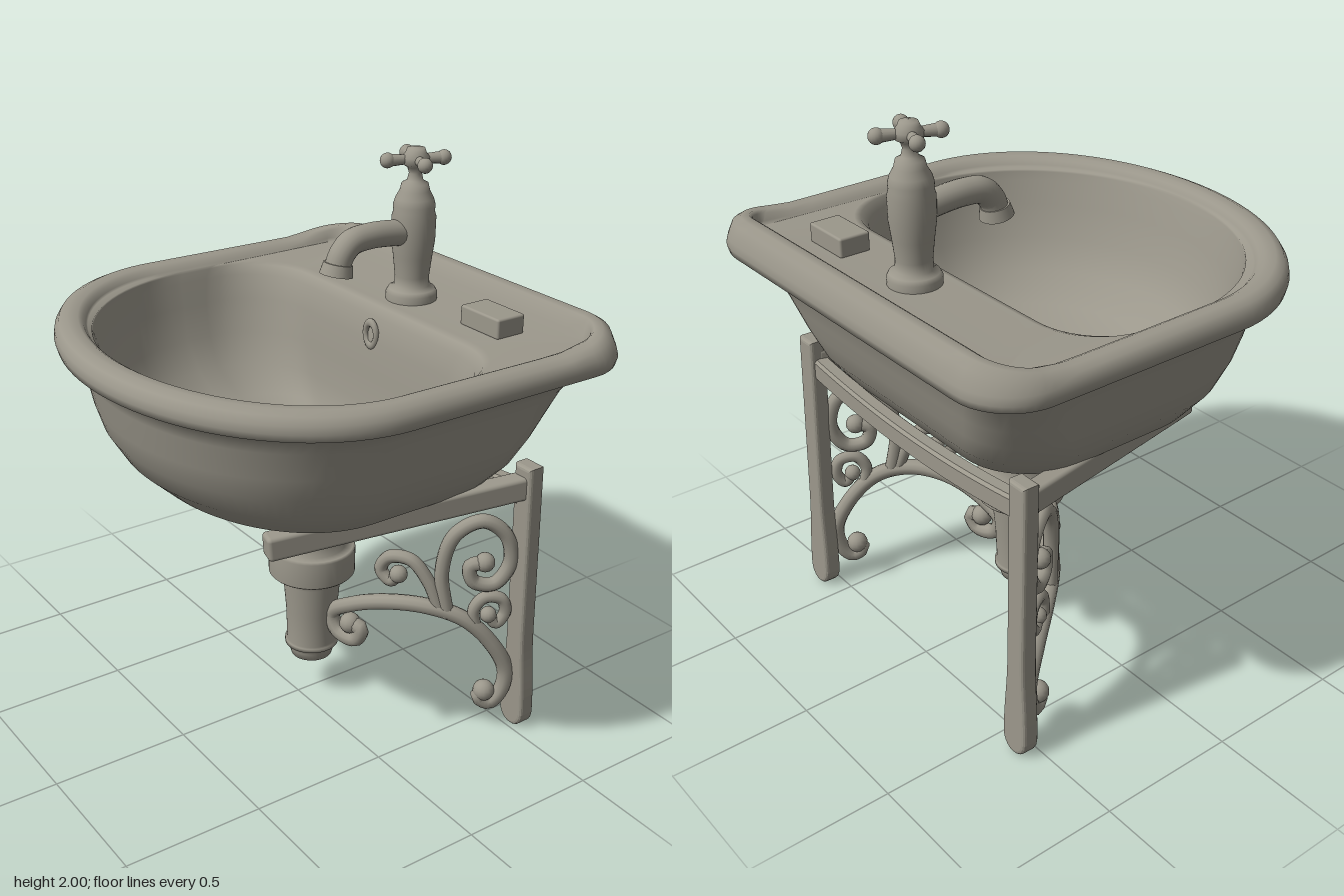
import * as THREE from 'three';
import { RoundedBoxGeometry } from 'three/addons/geometries/RoundedBoxGeometry.js';

const glaze = new THREE.MeshStandardMaterial({ color: 0x9b978b });
glaze.name = 'stoneGrey';

const V = (x, y, z) => new THREE.Vector3(x, y, z);
const { smoothstep } = THREE.MathUtils;

function add(parent, name, geometry, x = 0, y = 0, z = 0) {
  const mesh = new THREE.Mesh(geometry, glaze);
  mesh.name = name;
  mesh.position.set(x, y, z);
  parent.add(mesh);
  return mesh;
}

function lathe(profile, segments = 40) {
  return new THREE.LatheGeometry(profile.map(([r, y]) => new THREE.Vector2(r, y)), segments);
}

// D-shaped plan: straight back at xr, round corners, elliptical front at xl
function outline(xl, xr, zw, y, r, k) {
  const c = xl + k * (xr - xl), half = [];
  r = Math.min(r, 0.9 * (xr - c), 0.9 * zw);
  for (let i = 0; i < 8; i++) half.push([xr, (zw - r) * i / 8]);
  for (let i = 0; i < 10; i++) {
    const a = i / 10 * Math.PI / 2;
    half.push([xr - r + r * Math.cos(a), zw - r + r * Math.sin(a)]);
  }
  for (let i = 0; i < 8; i++) half.push([xr - r + (c - xr + r) * i / 8, zw]);
  for (let i = 0; i <= 22; i++) {
    const a = i / 22 * Math.PI / 2;
    half.push([c - (c - xl) * Math.sin(a), zw * Math.cos(a)]);
  }
  const back = half.slice(1, -1).reverse().map(([x, z]) => [x, -z]);
  return half.concat(back).map(([x, z]) => {
    // the rim rises into a low curb along the wall side, easing off at the corners
    const curb = 0.048 * smoothstep(x, 0.47, 0.69) * (1 - 0.55 * smoothstep(Math.abs(z), 0.62, 0.82));
    return [x, y + (curb - 0.008 * x) * smoothstep(y, 1.465, 1.49), z];
  });
}

function loft(loops) {
  const n = loops[0].length, index = [];
  for (let i = 0; i < loops.length - 1; i++) {
    for (let j = 0; j < n; j++) {
      const a = i * n + j, b = i * n + (j + 1) % n;
      index.push(a, a + n, b, b, a + n, b + n);
    }
  }
  const g = new THREE.BufferGeometry();
  g.setAttribute('position', new THREE.Float32BufferAttribute(loops.flat(2), 3));
  g.setIndex(index);
  g.computeVertexNormals();
  return g;
}

function makeBasin(root) {
  const basin = new THREE.Group();
  basin.name = 'basin';
  // underside, flared rim and deck: xl, xr, zw, y, corner radius
  const outer = [
    [0.059, 0.061, 0.001, 0.843, 0.2], [-0.17, 0.26, 0.26, 0.852, 0.2], [-0.37, 0.42, 0.43, 0.905, 0.25],
    [-0.51, 0.52, 0.55, 0.975, 0.25], [-0.60, 0.578, 0.615, 1.06, 0.25], [-0.655, 0.61, 0.65, 1.15, 0.23],
    [-0.68, 0.635, 0.675, 1.23, 0.22], [-0.70, 0.665, 0.705, 1.33, 0.2], [-0.715, 0.70, 0.735, 1.38, 0.2],
    [-0.75, 0.75, 0.785, 1.403, 0.2], [-0.78, 0.78, 0.815, 1.415, 0.2], [-0.787, 0.785, 0.82, 1.44, 0.2],
    [-0.783, 0.78, 0.815, 1.465, 0.2], [-0.768, 0.762, 0.80, 1.485, 0.19], [-0.74, 0.735, 0.775, 1.497, 0.17],
    [-0.705, 0.70, 0.74, 1.494, 0.12], [-0.69, 0.682, 0.722, 1.485, 0.08], [-0.681, 0.67, 0.71, 1.473, 0.055],
    [-0.676, 0.66, 0.704, 1.466, 0.04],
  ].map((p) => outline(...p, 0.405));
  // bowl opening and interior
  const inner = [
    [-0.674, 0.37, 0.702, 1.465, 0.25], [-0.671, 0.345, 0.699, 1.457, 0.25], [-0.66, 0.322, 0.688, 1.425, 0.25],
    [-0.637, 0.303, 0.665, 1.34, 0.25], [-0.605, 0.292, 0.63, 1.22, 0.25], [-0.55, 0.28, 0.57, 1.11, 0.24],
    [-0.45, 0.26, 0.47, 1.02, 0.2], [-0.30, 0.22, 0.32, 0.963, 0.15], [-0.08, 0.15, 0.12, 0.938, 0.07],
    [0.049, 0.051, 0.001, 0.935, 0.1],
  ].map((p) => outline(...p, 0.6));
  add(basin, 'bowl', loft(outer.concat(inner)));

  const drain = add(basin, 'drainRing', new THREE.TorusGeometry(0.084, 0.013, 10, 40), 0.06, 0.937, 0);
  drain.rotation.x = Math.PI / 2;
  const overflow = add(basin, 'overflowRing', new THREE.TorusGeometry(0.03, 0.011, 10, 28), 0.306, 1.365, 0);
  overflow.rotation.y = Math.PI / 2;
  overflow.scale.y = 1.4;
  add(basin, 'soapBlock', new RoundedBoxGeometry(0.115, 0.07, 0.19, 2, 0.008), 0.507, 1.497, 0.395);
  root.add(basin);
}

function makeTap(root) {
  const tap = new THREE.Group();
  tap.name = 'tap';
  tap.position.set(0.48, 0, 0);
  add(tap, 'tapBody', lathe([
    [0.09, 1.46], [0.09, 1.49], [0.082, 1.505], [0.062, 1.515], [0.06, 1.55], [0.068, 1.62], [0.076, 1.68],
    [0.077, 1.76], [0.071, 1.78], [0.073, 1.80], [0.066, 1.825], [0.052, 1.85], [0.046, 1.875], [0.028, 1.885],
    [0.022, 1.91], [0.028, 1.93], [0.045, 1.94], [0.047, 1.965], [0.036, 1.98], [0.03, 1.995], [0.001, 2.0],
  ]));
  const path = new THREE.CatmullRomCurve3([
    V(0, 1.70, 0), V(-0.1, 1.715, 0), V(-0.2, 1.72, 0), V(-0.265, 1.71, 0), V(-0.304, 1.674, 0), V(-0.322, 1.63, 0),
  ]);
  add(tap, 'spout', new THREE.TubeGeometry(path, 32, 0.045, 18));
  const lip = add(tap, 'spoutLip', new THREE.CylinderGeometry(0.05, 0.058, 0.04, 24), -0.322, 1.628, 0);
  lip.rotation.z = -0.2;
  // four-armed handle
  for (let i = 0; i < 4; i++) {
    const arm = new THREE.Group();
    arm.name = 'handleArm';
    arm.position.y = 1.957;
    arm.rotation.y = i * Math.PI / 2 - 0.36;
    const bar = add(arm, 'armBar', new THREE.CylinderGeometry(0.022, 0.015, 0.085, 14), 0.06, 0, 0);
    bar.rotation.z = -Math.PI / 2;
    add(arm, 'armKnob', new THREE.SphereGeometry(0.026, 16, 12), 0.1, 0, 0);
    tap.add(arm);
  }
  root.add(tap);
}

function makeWaste(root) {
  add(root, 'wastePipe', lathe([
    [0.001, 0.14], [0.05, 0.143], [0.075, 0.16], [0.084, 0.19], [0.084, 0.205], [0.098, 0.207], [0.098, 0.222],
    [0.09, 0.225], [0.094, 0.35], [0.104, 0.47], [0.104, 0.505], [0.15, 0.506], [0.157, 0.513], [0.157, 0.607],
    [0.15, 0.615], [0.122, 0.617], [0.116, 0.68], [0.122, 0.77], [0.14, 0.82], [0.19, 0.86], [0.2, 0.88],
  ]), 0.06, 0, 0);
}

// Scroll curves as (distance out from leg, height), with tube radius
const scrolls = {
  archScroll: [0.029, [[0.15, 0.15], [0.175, 0.125], [0.125, 0.1], [0.07, 0.14], [0.05, 0.23], [0.13, 0.35], [0.27, 0.45],
    [0.45, 0.49], [0.65, 0.48], [0.83, 0.43], [0.95, 0.36], [0.92, 0.295], [0.82, 0.285], [0.79, 0.335], [0.85, 0.345]]],
  largeScroll: [0.026, [[0.35, 0.46], [0.385, 0.64], [0.33, 0.78], [0.2, 0.835], [0.09, 0.78], [0.06, 0.67], [0.13, 0.59],
    [0.23, 0.6], [0.25, 0.66], [0.18, 0.675]]],
  outerCurl: [0.024, [[0.38, 0.47], [0.45, 0.59], [0.54, 0.665], [0.65, 0.66], [0.69, 0.605], [0.64, 0.57], [0.6, 0.6]]],
  innerCurl: [0.022, [[0.21, 0.42], [0.22, 0.49], [0.17, 0.535], [0.09, 0.525], [0.07, 0.47], [0.11, 0.43], [0.15, 0.465]]],
};

function makeBracket(root, s) {
  const bracket = new THREE.Group();
  bracket.name = s > 0 ? 'frontBracket' : 'rearBracket';

  // upright leg with rounded foot
  const leg = new THREE.Shape();
  leg.moveTo(-0.028, 1.03);
  leg.lineTo(-0.028, 0.4);
  leg.bezierCurveTo(-0.028, 0.25, -0.044, 0.2, -0.044, 0.065);
  leg.bezierCurveTo(-0.041, 0, 0.041, 0, 0.044, 0.065);
  leg.bezierCurveTo(0.044, 0.2, 0.028, 0.25, 0.028, 0.4);
  leg.lineTo(0.028, 1.03);
  const legGeo = new THREE.ExtrudeGeometry(leg, {
    depth: 0.038, bevelThickness: 0.013, bevelSize: 0.013, bevelSegments: 3, curveSegments: 10,
  });
  legGeo.translate(0, 0, -0.019);
  legGeo.rotateY(Math.PI / 2);
  const upright = add(bracket, 'leg', legGeo, 0.545, 0, s * 0.605);
  upright.rotation.z = 0.02;

  // arm carrying the basin, angled inward toward its free end
  const arm = add(bracket, 'supportArm', new RoundedBoxGeometry(0.93, 0.085, 0.07, 3, 0.014), 0.07, 0.932, s * 0.485);
  arm.rotation.set(0, -s * 0.25, 0.07, 'YZX');

  // scrollwork, bending in plan from the leg toward the centre
  for (const [name, [radius, points]] of Object.entries(scrolls)) {
    const pts = points.map(([t, y]) => {
      const dx = 0.72 * t - 0.27 * t * t;
      return V(0.53 - dx, y, s * (0.6 - (t - dx)));
    });
    add(bracket, name, new THREE.TubeGeometry(new THREE.CatmullRomCurve3(pts), 90, radius, 10));
    const ends = name === 'archScroll' ? [pts[0], pts[pts.length - 1]] : [pts[pts.length - 1]];
    for (const p of ends) add(bracket, 'scrollEye', new THREE.SphereGeometry(radius * 1.35, 14, 10), p.x, p.y, p.z);
  }
  root.add(bracket);
}

// sagging bar joining the two legs
function makeCrossBar(root) {
  const g = new RoundedBoxGeometry(0.06, 0.08, 1.16, 12, 0.012);
  const p = g.attributes.position;
  const path = new THREE.QuadraticBezierCurve3(V(0, 0.04, -0.58), V(0, -0.04, 0), V(0, 0.04, 0.58));
  add(root, 'crossBar', new THREE.ExtrudeGeometry(barSection(), { steps: 24, extrudePath: path }), 0.515, 0.895, 0);
}

// rectangular bar profile with softened corners
function barSection() {
  const h = 0.03, w = 0.04, c = 0.01;
  return new THREE.Shape([
    [h - c, w], [c - h, w], [-h, w - c], [-h, c - w], [c - h, -w], [h - c, -w], [h, c - w], [h, w - c],
  ].map(([x, y]) => new THREE.Vector2(x, y)));
}

export function createModel() {
  const root = new THREE.Group();
  root.name = 'washbasin';
  makeBasin(root);
  makeTap(root);
  makeWaste(root);
  makeCrossBar(root);
  for (const s of [1, -1]) makeBracket(root, s);
  return root;
}
